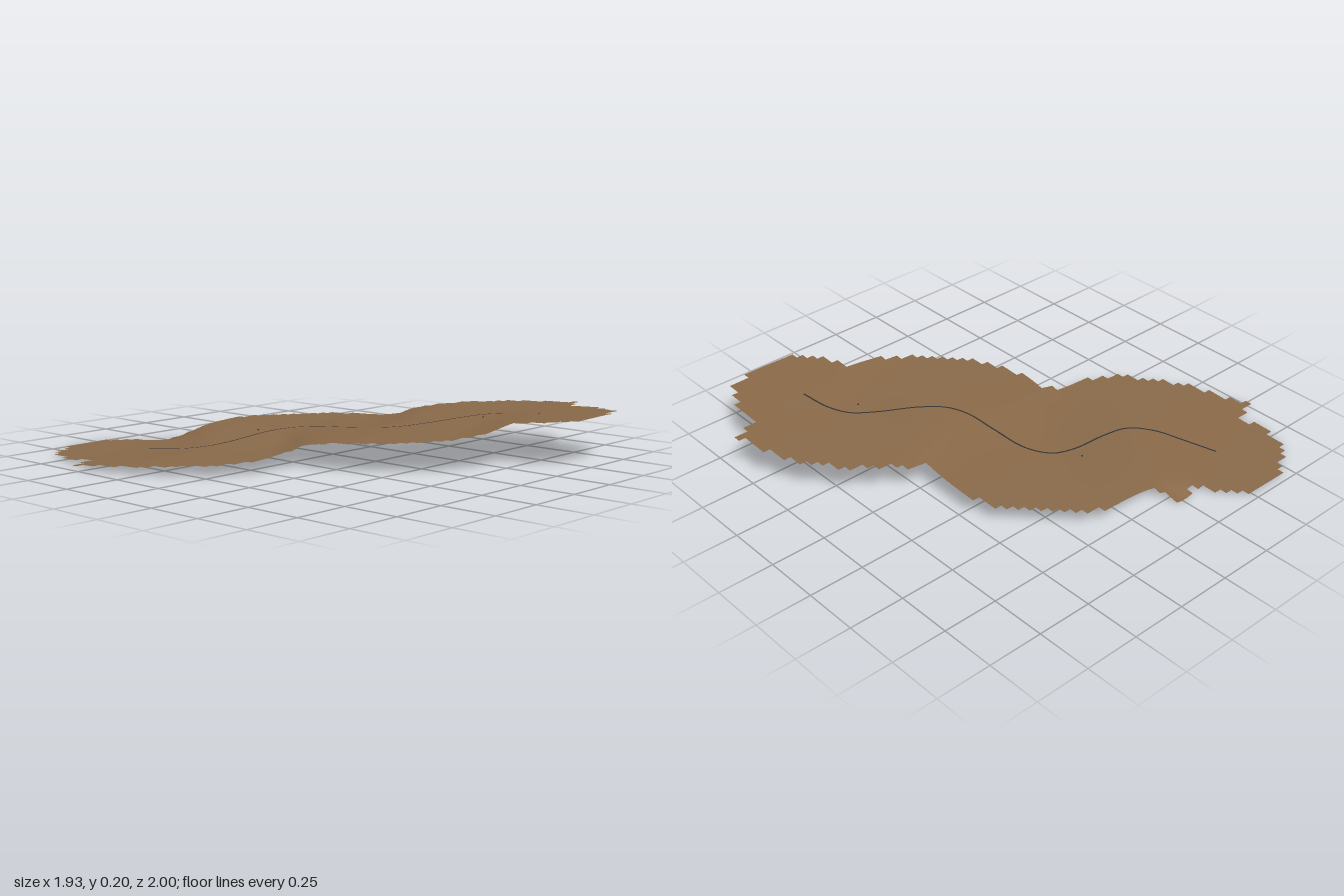
import * as THREE from 'three';

const CELL = 2 / 61, COLS = 59, ROWS = 61;

// Border of the terrain in grid cells: column, row
const border = [
  47,0, 48,0, 48,2, 49,2, 49,4, 53,4, 57.3,6, 59,10, 59,16, 57,19, 54,20.5, 54,21, 52,21, 52,26,
  49.4,31, 48,32.5, 43.7,37, 37,39.5, 37,40, 33,40, 33,42, 32,42, 32,47, 29.4,52, 27,53.5, 26,55,
  22,57.4, 16,59.6, 14,60, 14,61, 13,61, 13,59, 12,59, 12,57, 10,57, 10,58, 7,58, 7,57, 4,57,
  2,54, 1,52, 0,52, 0,46, 1,44.3, 3,42, 5,42, 5,41, 6,41, 6,40, 5,40, 5,37, 7,37, 7,36, 8,36,
  8,28, 10.5,23.7, 15.5,18.7, 16,18, 21,16.3, 21,16, 29,16, 29,14, 32,9.3, 33,8, 33,7,
  36,5.6, 38,3.6, 40,2.4, 43,1.4, 43,1, 47,1,
];

// Winding path: x, height, z
const path = new THREE.CatmullRomCurve3([
  [-0.68, 0.018, 0.6], [-0.53, 0.03, 0.545], [-0.41, 0.04, 0.495], [-0.33, 0.052, 0.41],
  [-0.31, 0.062, 0.29], [-0.308, 0.076, 0.1], [-0.275, 0.084, 0], [-0.18, 0.094, -0.065],
  [0, 0.108, -0.085], [0.15, 0.121, -0.1], [0.24, 0.13, -0.145], [0.31, 0.14, -0.24],
  [0.39, 0.156, -0.42], [0.45, 0.165, -0.515], [0.54, 0.173, -0.565], [0.68, 0.184, -0.59],
].map(p => new THREE.Vector3(...p)));
const samples = path.getSpacedPoints(100);

// The ground slope carries on a little past both path ends
const controls = [...samples];
for (let i = 1; i <= 14; i++) {
  controls.push(new THREE.Vector3(0.68 + 0.02 * i, 0.184 + 0.0012 * i, -0.59 - 0.003 * i));
  controls.push(new THREE.Vector3(-0.68 - 0.02 * i, 0.018 - 0.0006 * i, 0.6 + 0.005 * i));
}

// Ground height: strongly distance-weighted mean of the path heights
function height(x, z) {
  let sum = 0, total = 0;
  for (const p of controls) {
    const d2 = (p.x - x) ** 2 + (p.z - z) ** 2 + 0.0004;
    const w = 1 / d2 ** 5;
    sum += w * p.y;
    total += w;
  }
  const dip = 0.022 * Math.exp(-((x + 0.81) ** 2 + (z - 0.25) ** 2) / 0.006);
  return sum / total - dip;
}

function inside(c, r) {
  let hit = false;
  for (let i = 0, j = border.length - 2; i < border.length; j = i, i += 2) {
    const [xi, yi, xj, yj] = [border[i], border[i + 1], border[j], border[j + 1]];
    if ((yi > r) !== (yj > r) && c < xi + (r - yi) * (xj - xi) / (yj - yi)) hit = !hit;
  }
  return hit;
}

function buildGeometry(positions, index) {
  const g = new THREE.BufferGeometry();
  g.setAttribute('position', new THREE.Float32BufferAttribute(positions, 3));
  g.setIndex(index);
  g.computeVertexNormals();
  return g;
}

// Sheet of square cells with a stepped edge
function terrainGeometry() {
  const positions = [], index = [], ids = new Map();
  const vertex = (c, r) => {
    const key = r * (COLS + 1) + c;
    if (!ids.has(key)) {
      const x = (c - COLS / 2) * CELL, z = (r - ROWS / 2) * CELL;
      ids.set(key, positions.length / 3);
      positions.push(x, height(x, z), z);
    }
    return ids.get(key);
  };
  for (let r = 0; r < ROWS; r++) for (let c = 0; c < COLS; c++) {
    if (!inside(c + 0.5, r + 0.5)) continue;
    const a = vertex(c, r), b = vertex(c, r + 1), d = vertex(c + 1, r + 1), e = vertex(c + 1, r);
    index.push(a, b, e, b, d, e);
  }
  return buildGeometry(positions, index);
}

// Narrow ribbon lying just above the ground
function pathGeometry(width) {
  const positions = [], index = [];
  samples.forEach((p, i) => {
    const t = path.getTangentAt(i / (samples.length - 1));
    const side = new THREE.Vector3(t.z, 0, -t.x).setLength(width / 2);
    const y = height(p.x, p.z) + 0.002;
    positions.push(p.x - side.x, y, p.z - side.z, p.x + side.x, y, p.z + side.z);
    const k = i * 2;
    if (i) index.push(k - 2, k, k - 1, k - 1, k, k + 1);
  });
  return buildGeometry(positions, index);
}

export function createModel() {
  const group = new THREE.Group();
  const earth = new THREE.MeshStandardMaterial({ color: 0x8b6b4a, side: THREE.DoubleSide });
  earth.name = 'earthBrown';
  const asphalt = new THREE.MeshStandardMaterial({ color: 0x333333, side: THREE.DoubleSide });
  asphalt.name = 'darkGrey';
  const add = (name, geometry, material) => {
    const mesh = new THREE.Mesh(geometry, material);
    mesh.name = name;
    group.add(mesh);
    return mesh;
  };

  add('terrain', terrainGeometry(), earth);
  add('path', pathGeometry(0.008), asphalt);

  // Tiny markers beside the path
  for (const [x, z] of [[-0.37, 0.09], [0.48, -0.445]]) {
    add('marker', new THREE.BoxGeometry(0.005, 0.006, 0.005), asphalt)
      .position.set(x, height(x, z) + 0.002, z);
  }

  // Rest the lowest point on the ground
  const low = new THREE.Box3().setFromObject(group).min.y;
  group.children.forEach(m => { m.position.y -= low; });
  return group;
}
